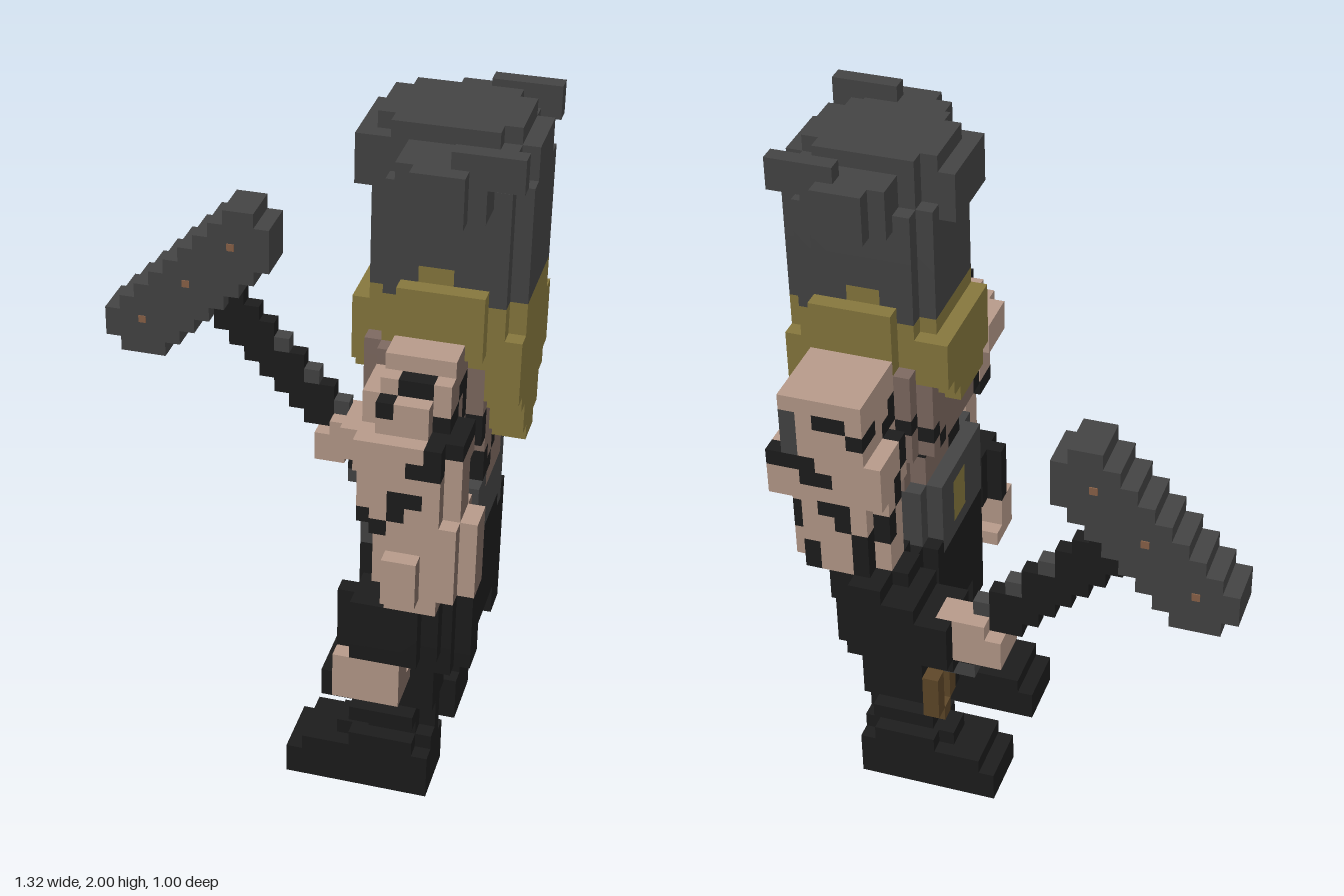
import * as THREE from 'three';

const U = 1 / 22; // edge of one cube
const FACES = [ // normal, then the two edge axes (a x b = normal)
  [[1, 0, 0], [0, 1, 0], [0, 0, 1]], [[-1, 0, 0], [0, 0, 1], [0, 1, 0]],
  [[0, 1, 0], [0, 0, 1], [1, 0, 0]], [[0, -1, 0], [1, 0, 0], [0, 0, 1]],
  [[0, 0, 1], [1, 0, 0], [0, 1, 0]], [[0, 0, -1], [0, 1, 0], [1, 0, 0]],
];

// Distance from a point to a polyline
function distance(line, u, v) {
  let best = Infinity;
  for (let i = 1; i < line.length; i++) {
    const [au, av] = line[i - 1], du = line[i][0] - au, dv = line[i][1] - av;
    const t = THREE.MathUtils.clamp(((u - au) * du + (v - av) * dv) / (du * du + dv * dv), 0, 1);
    best = Math.min(best, Math.hypot(u - au - t * du, v - av - t * dv));
  }
  return best;
}

export function createModel() {
  const colours = {
    skin: 0xb69a8a, darkSkin: 0x7d6960, black: 0x1c1c1c,
    grey: 0x444444, olive: 0x86773d, brown: 0x5e4728, copper: 0x8a6248,
  };
  const materials = {};
  for (const name in colours) {
    materials[name] = new THREE.MeshStandardMaterial({ color: colours[name] });
    materials[name].name = name;
  }

  // Grid: x 0..29 (the figure faces -x), y 0..44, z 0..22
  const cells = new Map();
  const key = (x, y, z) => x + ',' + y + ',' + z;
  const fill = (part, colour, [x0, x1], [y0, y1], [z0, z1], keep = () => true) => {
    for (let x = x0; x < x1; x++)
      for (let y = y0; y < y1; y++)
        for (let z = z0; z < z1; z++)
          if (keep(x, y, z)) cells.set(key(x, y, z), { part, colour, p: [x, y, z] });
  };
  // Same, with the four upright edges notched
  const rounded = (part, colour, xs, ys, zs) => fill(part, colour, xs, ys, zs,
    (x, y, z) => !((x === xs[0] || x === xs[1] - 1) && (z === zs[0] || z === zs[1] - 1)));
  const ellipse = (cx, cz, rx, rz) => (x, y, z) =>
    ((x + 0.5 - cx) / rx) ** 2 + ((z + 0.5 - cz) / rz) ** 2 <= 1;

  // Boots and legs, one per side
  for (const side of [1, -1]) {
    const span = (a, b) => side > 0 ? [11 + a, 11 + b] : [11 - b, 11 - a];
    fill('boot', 'black', [16, 25], [0, 2], span(2, 6));
    fill('boot', 'black', [17, 25], [2, 3], span(2, 6));
    rounded('boot', 'black', [19, 25], [3, 4], span(2, 6));
    rounded('leg', 'black', [20, 25], [4, 6], span(2, 5));
    fill('leg', 'black', [21, 25], [6, 10], span(2, 5));
    fill('knee', 'black', [20, 24], [5, 6], span(1, 6));
    rounded('thigh', 'black', [20, 27], [9, 12], span(1, 5));
  }
  rounded('hips', 'black', [20, 27], [11, 18], [6, 16]);
  rounded('belt', 'grey', [20, 27], [17, 22], [7, 16]);
  fill('trouserBack', 'black', [26, 27], [17, 18], [9, 13]);
  fill('buckle', 'olive', [20, 21], [18, 21], [10, 12]);

  // Torso
  rounded('torso', 'darkSkin', [21, 27], [22, 27], [7, 15]);
  fill('torso', 'darkSkin', [26, 27], [21, 22], [9, 13]);
  rounded('chest', 'darkSkin', [20, 27], [25, 31], [6, 16]);

  // Left arm, hanging, with a sloping shoulder
  rounded('leftShoulder', 'skin', [21, 26], [28, 30], [15, 20]);
  fill('leftShoulder', 'skin', [22, 26], [30, 31], [15, 19]);
  fill('leftShoulder', 'skin', [22, 26], [31, 32], [15, 18]);
  rounded('leftUpperArm', 'skin', [20, 27], [26, 28], [16, 21]);
  rounded('leftUpperArm', 'skin', [21, 27], [22, 26], [17, 21]);
  rounded('leftForearm', 'skin', [22, 28], [18, 23], [17, 21]);
  fill('leftForearm', 'skin', [23, 25], [18, 21], [21, 22]);
  fill('leftForearm', 'skin', [23, 26], [17, 18], [17, 21]);
  rounded('leftGauntlet', 'black', [20, 26], [13, 17], [18, 21]);
  fill('leftHand', 'skin', [20, 24], [11, 13], [19, 21]);
  fill('leftHand', 'skin', [20, 24], [10, 11], [18, 21]);

  // Right arm, reaching forward
  fill('rightShoulder', 'skin', [22, 27], [27, 31], [1, 7]);
  fill('rightShoulder', 'skin', [22, 27], [31, 32], [1, 6]);
  fill('rightUpperArm', 'skin', [21, 28], [25, 28], [1, 5]);
  rounded('rightUpperArm', 'skin', [21, 27], [20, 25], [1, 5]);
  fill('shoulderPatch', 'grey', [26, 27], [28, 31], [1, 3]);
  rounded('rightElbow', 'black', [20, 25], [17, 20], [1, 5]);
  fill('rightForearm', 'black', [17, 23], [14, 20], [0, 4],
    (x, y, z) => Math.abs(y - 15 - (x - 17) * 0.5) < 2.1 && !(z === 0 && y < 15));

  // Tattoos wind over the bare arms and back: lines in (z, y) and in (x, y)
  const backLines = [
    [[20.5, 27], [18.5, 28.5], [16, 29.5], [14.5, 26], [13.5, 22.5]],
    [[12.5, 22.5], [11.5, 24], [9, 24.5], [7, 27], [5, 29.5], [4, 26], [2, 22.5], [1.5, 20.5]],
  ];
  const sideLines = [
    [[22.5, 29.5], [23.5, 30.5], [25, 30.5]], [[26.5, 29.5], [26.5, 27.5], [24.5, 26.5]],
    [[24.5, 24.5], [23.5, 24.5]], [[23.5, 23.3], [22.5, 22.5], [21.5, 22.5]],
  ];
  const bare = /Shoulder|UpperArm|leftForearm|torso|chest/;
  for (const c of cells.values()) {
    const [x, y, z] = c.p;
    if (!bare.test(c.part) || c.colour === 'grey') continue;
    const onEnds = x >= 25 || (x < 23 && z < 16);
    const marked = (onEnds && backLines.some((l) => distance(l, z + 0.5, y + 0.5) < 0.46))
      || ((z >= 17 || z < 3) && sideLines.some((l) => distance(l, x + 0.5, y + 0.5) < 0.5));
    if (marked) Object.assign(c, { part: 'tattoo', colour: 'black' });
  }
  fill('tattoo', 'black', [27, 28], [27, 28], [1, 2]);

  // Hammer: slanted head, bound shaft, and a looped pommel
  fill('hammerHead', 'grey', [0, 11], [21, 32], [1, 4],
    (x, y) => y - x >= 18 && y - x <= 23 && x + y >= 22 && x + y <= 40);
  fill('hammerShaft', 'black', [7, 19], [13, 26], [2, 3],
    (x, y) => x + y >= 30 && x + y <= 33 && y - x < 18);
  for (const x of [11, 13, 15]) fill('shaftBand', 'grey', [x, x + 1], [33 - x, 34 - x], [2, 3]);
  fill('shaftEnd', 'grey', [16, 18], [13, 14], [2, 3]);
  fill('rightHand', 'skin', [14, 17], [15, 17], [1, 4], (x, y, z) => x < 16 || z < 3);
  fill('rightHand', 'skin', [15, 18], [16, 18], [1, 4], (x, y, z) => x < 16 || z < 3);
  fill('pommelLoop', 'brown', [18, 19], [9, 14], [1, 4],
    (x, y, z) => z === 2 ? y === 9 || y === 13 : y > 9 && y < 13);

  // Hair and beard
  rounded('hair', 'olive', [20, 29], [30, 35], [7, 15]);
  fill('hair', 'olive', [22, 27], [31, 35], [6, 16]);
  rounded('hairBack', 'olive', [27, 29], [29, 32], [6, 16]);
  fill('hairBack', 'olive', [27, 29], [24, 30], [7, 15],
    (x, y, z) => Math.abs(z - 10.5) < 1 + (y - 24) * 0.7);
  fill('beard', 'olive', [19, 21], [28, 33], [7, 14], (x, y, z) => Math.abs(z - 10.5) < 2 + (y - 28));

  // Helmet with back-swept horns
  fill('helmet', 'grey', [20, 29], [34, 41], [7, 15], ellipse(24.5, 11, 4.95, 4.65));
  fill('helmet', 'grey', [20, 29], [41, 43], [7, 15], ellipse(24.5, 11, 4.7, 4.2));
  fill('helmet', 'grey', [20, 28], [43, 44], [8, 14], ellipse(24, 11, 4.2, 3.3));
  fill('helmetBrow', 'grey', [19, 21], [40, 43], [9, 14]);
  fill('hairline', 'olive', [23, 25], [35, 36], [14, 15]);
  fill('hairline', 'olive', [23, 25], [35, 36], [7, 8]);
  for (const [outer, inner, tip] of [[17, [14, 17], 16], [5, [6, 8], 6]]) {
    fill('horn', 'grey', [23, 26], [40, 43], [outer, outer + 1]);
    fill('horn', 'grey', [22, 27], [40, 43], inner);
    fill('horn', 'grey', [25, 29], [42, 44], [tip, tip + 1]);
  }

  // Collect the exposed faces of each part and colour
  const parts = new Map();
  for (const { part, colour, p } of cells.values()) {
    for (const [n, a, b] of FACES) {
      if (cells.has(key(p[0] + n[0], p[1] + n[1], p[2] + n[2]))) continue;
      // The bare back is a deeper skin tone
      const mat = colour === 'skin' && n[0] > 0 ? 'darkSkin' : colour;
      const id = part + '|' + mat;
      if (!parts.has(id)) parts.set(id, { part, mat, pos: [], nor: [] });
      const { pos, nor } = parts.get(id);
      const corner = (s, t) => {
        const v = [0, 1, 2].map((i) => p[i] + Math.max(n[i], 0) + s * a[i] + t * b[i]);
        pos.push((v[0] - 14.5) * U, v[1] * U, (v[2] - 11) * U);
        nor.push(...n);
      };
      [[0, 0], [1, 0], [1, 1], [0, 0], [1, 1], [0, 1]].forEach(([s, t]) => corner(s, t));
    }
  }

  const group = new THREE.Group();
  group.name = 'hammerWarrior';
  for (const { part, mat, pos, nor } of parts.values()) {
    const geo = new THREE.BufferGeometry();
    geo.setAttribute('position', new THREE.Float32BufferAttribute(pos, 3));
    geo.setAttribute('normal', new THREE.Float32BufferAttribute(nor, 3));
    const mesh = new THREE.Mesh(geo, materials[mat]);
    mesh.name = part;
    group.add(mesh);
  }

  // Small rivets along both sides of the hammer head
  const rivetShape = new THREE.BoxGeometry(0.022, 0.022, 0.006);
  for (const x of [2.5, 5.5, 8.5])
    for (const z of [1, 4]) {
      const rivet = new THREE.Mesh(rivetShape, materials.copper);
      rivet.name = 'hammerRivet';
      rivet.position.set((x - 14.5) * U, (x + 21) * U, (z - 11) * U);
      group.add(rivet);
    }
  return group;
}
